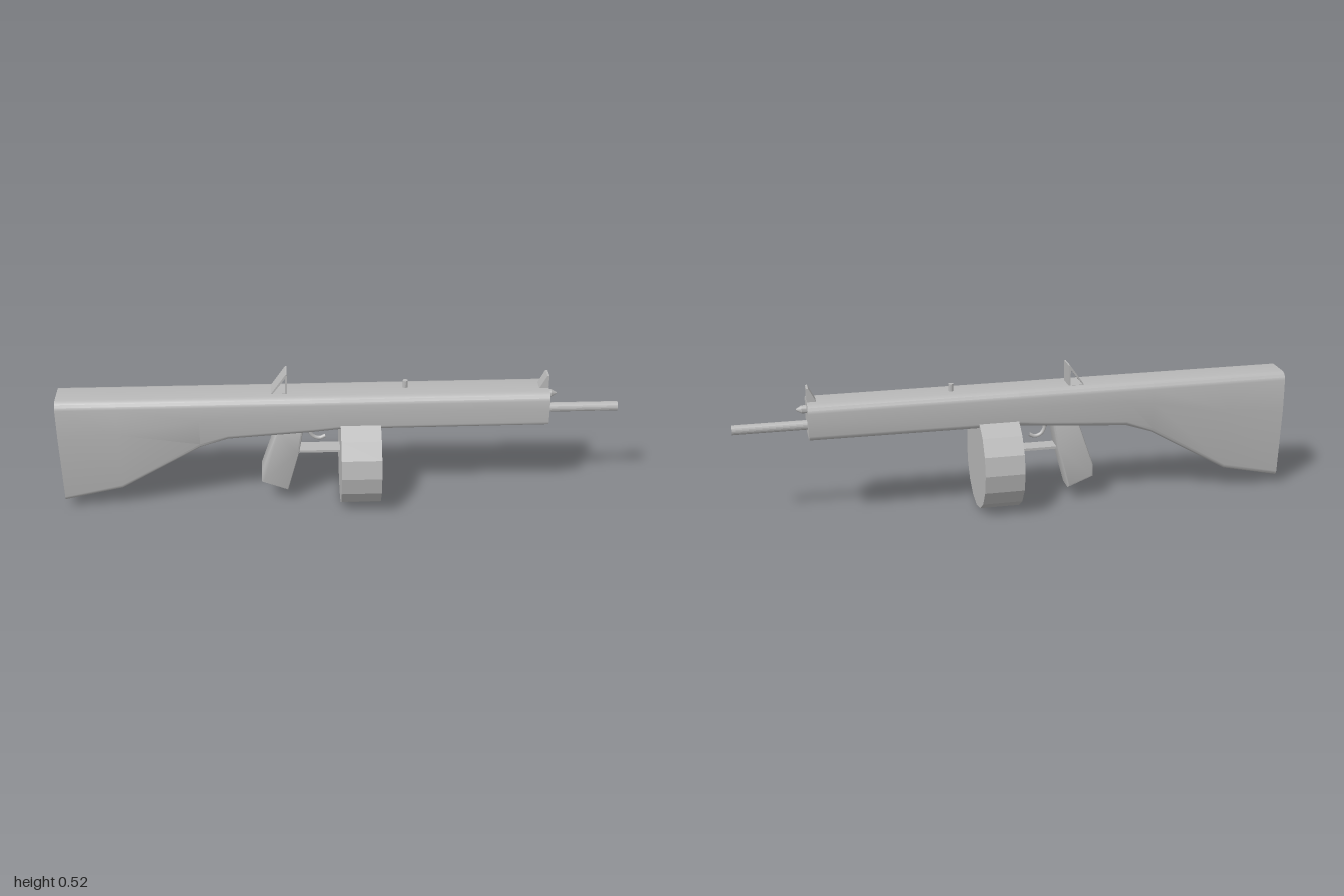
import * as THREE from 'three';
import { toCreasedNormals } from 'three/addons/utils/BufferGeometryUtils.js';

const grey = new THREE.MeshStandardMaterial({ color: 0xb8b8b8 });
grey.name = 'plain grey';

const TOP = 0.448, HALF = 0.071;

// One ring of the body: straight sides, rounded corners, narrowing towards a low belly
function bodyRing(bottom, bottomHalf) {
  const pts = [];
  const corner = (z, y, r, start) => {
    for (let i = 0; i <= 4; i++) {
      const a = start + (i / 4) * Math.PI / 2;
      pts.push([z + r * Math.cos(a), y + r * Math.sin(a)]);
    }
  };
  const rt = 0.028, rb = 0.018;
  const shoulder = bottom + (TOP - rt - bottom) * 0.7;
  corner(HALF - rt, TOP - rt, rt, 0);
  corner(-HALF + rt, TOP - rt, rt, Math.PI / 2);
  pts.push([-HALF, shoulder]);
  corner(-bottomHalf + rb, bottom + rb, rb, Math.PI);
  corner(bottomHalf - rb, bottom + rb, rb, Math.PI * 1.5);
  pts.push([HALF, shoulder]);
  return pts;
}

// Skin over rings placed along x, with a fan cap on each end
function loft(stations) {
  const rings = stations.map(([x, bottom, half]) =>
    bodyRing(bottom, half).map(([z, y]) => [x, y, z]));
  const n = rings[0].length, pos = [], index = [];
  rings.forEach(r => r.forEach(p => pos.push(...p)));
  for (let s = 0; s < rings.length - 1; s++) {
    for (let i = 0; i < n; i++) {
      const a = s * n + i, b = s * n + (i + 1) % n;
      index.push(a, a + n, b, b, a + n, b + n);
    }
  }
  const last = (rings.length - 1) * n;
  for (let i = 1; i < n - 1; i++) {
    index.push(0, i, i + 1);
    index.push(last, last + i + 1, last + i);
  }
  const g = new THREE.BufferGeometry();
  g.setAttribute('position', new THREE.Float32BufferAttribute(pos, 3));
  g.setIndex(index);
  return toCreasedNormals(g, 0.5);
}

const polygon = pts => new THREE.Shape(pts.map(p => new THREE.Vector2(...p)));

// Side profile given thickness from z0 to z1, with an optional bevel
function slab(shape, z0, z1, bevel = 0) {
  const g = new THREE.ExtrudeGeometry(shape, {
    depth: z1 - z0 - 2 * bevel, bevelEnabled: bevel > 0,
    bevelSize: bevel, bevelOffset: -bevel, bevelThickness: bevel, bevelSegments: 2,
  });
  g.translate(0, 0, z0 + bevel);
  return toCreasedNormals(g, 0.6);
}

// Cylinder or cone lying along x
function rod(x0, x1, r0, r1, sides) {
  const g = new THREE.CylinderGeometry(r1, r0, x1 - x0, sides);
  g.rotateZ(-Math.PI / 2);
  g.translate((x0 + x1) / 2, 0, 0);
  return g;
}

export function createModel() {
  const group = new THREE.Group();
  const add = (name, geometry, x = 0, y = 0, z = 0) => {
    const mesh = new THREE.Mesh(geometry, grey);
    mesh.name = name;
    mesh.position.set(x, y, z);
    group.add(mesh);
    return mesh;
  };

  // Stock and receiver in one long shell: x, belly height, belly half width
  add('stockAndReceiver', loft([
    [-1, 0.035, 0.05],
    [-0.79, 0.08, 0.05],
    [-0.5, 0.25, 0.06],
    [-0.4, 0.285, 0.066],
    [-0.1, 0.308, 0.071],
    [0, 0.318, 0.071],
    [0.74, 0.32, 0.071],
  ]));

  // Sixteen-sided drum with its catch
  const drum = rod(0, 0.143, 0.176, 0.176, 16);
  add('drum', toCreasedNormals(drum, 0.2), 0, 0.177, 0);
  add('drumCatch', new THREE.BoxGeometry(0.03, 0.025, 0.06), 0.155, 0.325, 0);

  // Barrel and the small pointed plug above it
  add('barrel', toCreasedNormals(rod(0.7, 1, 0.017, 0.017, 20), 0.6), 0, 0.358, 0);
  add('plug', toCreasedNormals(rod(0.735, 0.757, 0.014, 0.014, 16), 0.6), 0, 0.416, 0);
  add('plugTip', toCreasedNormals(rod(0.757, 0.776, 0.014, 0.003, 16), 0.6), 0, 0.416, 0);

  // Sights: solid wedge in front, open triangular frame behind
  add('frontSight', slab(polygon([
    [0.705, 0.445], [0.739, 0.445], [0.739, 0.497], [0.732, 0.497],
  ]), -0.023, 0.023));
  const frame = polygon([[-0.25, 0.44], [-0.187, 0.44], [-0.187, 0.523], [-0.192, 0.523]]);
  frame.holes.push(new THREE.Path([[-0.238, 0.449], [-0.194, 0.507], [-0.194, 0.449]]
    .map(p => new THREE.Vector2(...p))));
  add('rearSight', slab(frame, -0.042, 0.028));
  add('topPin', toCreasedNormals(new THREE.CylinderGeometry(0.009, 0.009, 0.04, 12), 0.6),
    0.232, 0.455, -0.007);

  // Slanted grip
  add('grip', slab(polygon([
    [-0.225, 0.31], [-0.285, 0.135], [-0.285, 0.09], [-0.19, 0.053],
    [-0.148, 0.21], [-0.13, 0.315],
  ]), -0.04, 0.04, 0.008));

  // Trigger and its flat guard
  add('triggerGuard', new THREE.BoxGeometry(0.165, 0.009, 0.06), -0.075, 0.211, 0);
  const curve = new THREE.CatmullRomCurve3([
    [-0.108, 0.315], [-0.109, 0.28], [-0.095, 0.258], [-0.073, 0.251], [-0.052, 0.26],
  ].map(([x, y]) => new THREE.Vector3(x, y, 0)));
  add('trigger', new THREE.TubeGeometry(curve, 16, 0.007, 8));

  return group;
}
